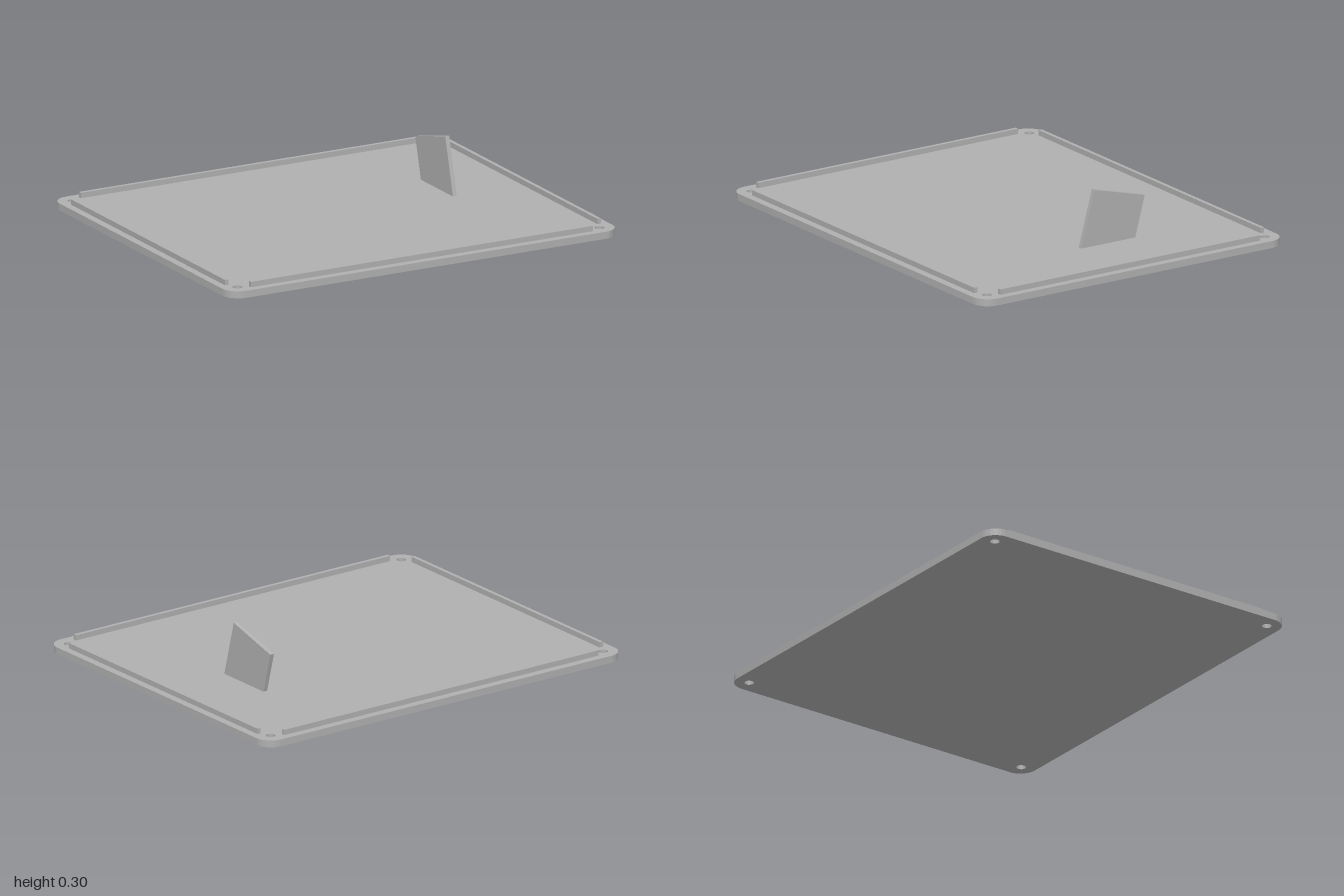
import * as THREE from 'three';
import { toCreasedNormals } from 'three/addons/utils/BufferGeometryUtils.js';

const W = 1, D = 0.825, PLATE = 0.033, RIB_TOP = 0.058, RIB = 0.018;

export function createModel() {
  const model = new THREE.Group();
  model.name = 'coverPlate';
  const grey = new THREE.MeshStandardMaterial({ color: 0xb0b0b0 });
  grey.name = 'grey';

  const add = (name, geometry, x = 0, y = 0, z = 0) => {
    const mesh = new THREE.Mesh(geometry, grey);
    mesh.name = name;
    mesh.position.set(x, y, z);
    model.add(mesh);
  };

  // Base plate with rounded corners and four screw holes
  const r = 0.08;
  const outline = new THREE.Shape();
  outline.absarc(W - r, D - r, r, 0, Math.PI / 2);
  outline.absarc(-W + r, D - r, r, Math.PI / 2, Math.PI);
  outline.absarc(-W + r, -D + r, r, Math.PI, Math.PI * 1.5);
  outline.absarc(W - r, -D + r, r, Math.PI * 1.5, Math.PI * 2);
  outline.closePath();
  for (const sx of [-1, 1]) for (const sz of [-1, 1]) {
    const hole = new THREE.Path();
    hole.absarc(sx * 0.928, sz * 0.755, 0.022, 0, Math.PI * 2, true);
    outline.holes.push(hole);
  }
  const plate = new THREE.ExtrudeGeometry(outline, { depth: PLATE, bevelEnabled: false, curveSegments: 16 });
  plate.rotateX(-Math.PI / 2);
  add('basePlate', toCreasedNormals(plate, 0.6));

  // Low locating ribs along the four edges
  const h = RIB_TOP - PLATE, y = PLATE + h / 2;
  for (const s of [-1, 1]) {
    add(s > 0 ? 'frontRib' : 'backRib', new THREE.BoxGeometry(1.754, h, RIB), 0, y, s * 0.779);
    add(s > 0 ? 'leftRib' : 'rightRib', new THREE.BoxGeometry(RIB, h, 1.41), s * 0.955, y, 0);
  }

  // Upright tab leaning backwards; profile in (-z, y)
  const profile = new THREE.Shape([
    [-0.021, PLATE], [0.273, PLATE], [0.324, 0.223], [0.05, 0.296],
  ].map(([a, b]) => new THREE.Vector2(a, b)));
  const tab = new THREE.ExtrudeGeometry(profile, { depth: 0.02, bevelEnabled: false });
  tab.rotateY(Math.PI / 2);
  add('leaningTab', tab, 0.588);

  return model;
}
